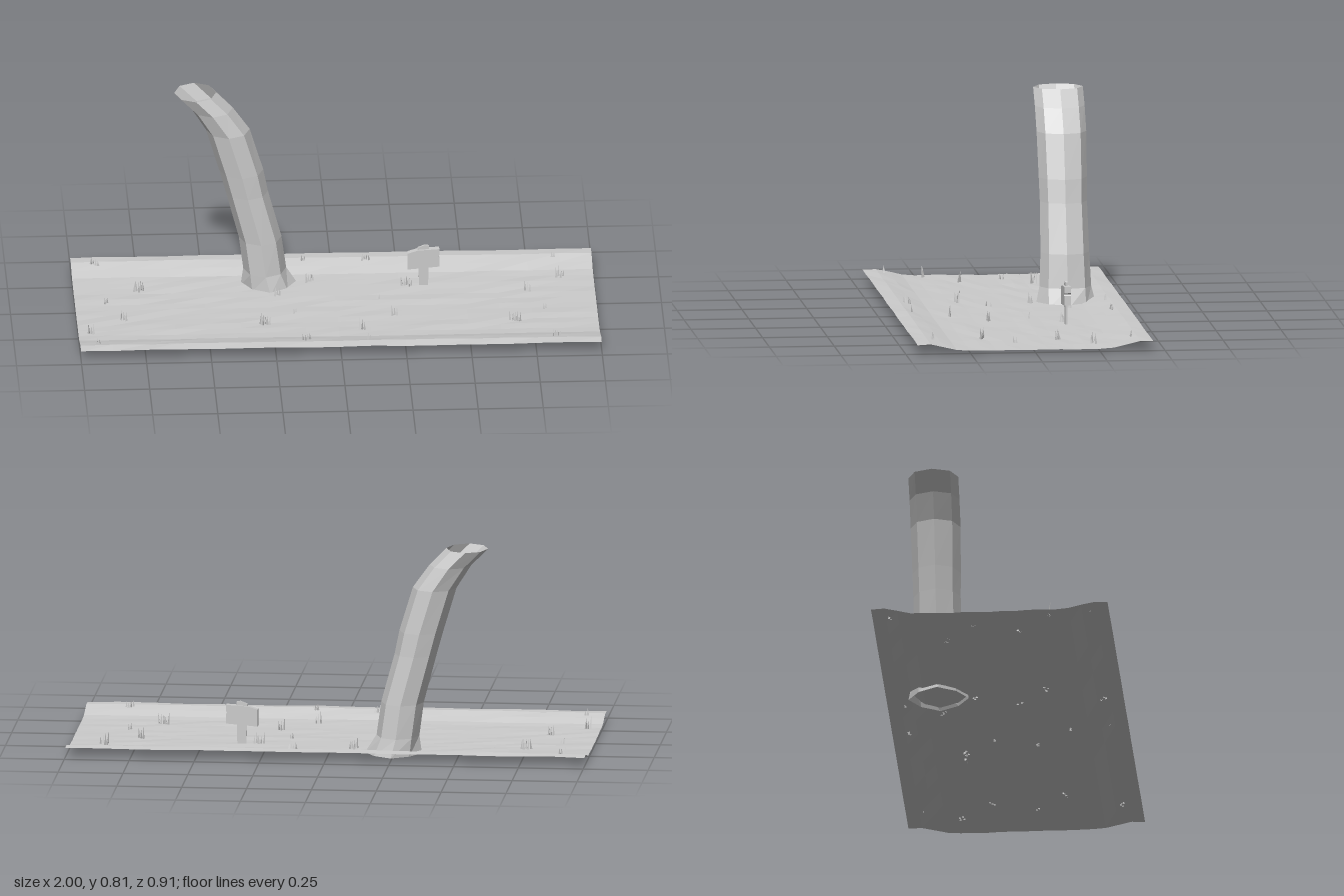
import * as THREE from 'three';

const material = new THREE.MeshStandardMaterial({ color: 0xcccccc, flatShading: true, side: THREE.DoubleSide });

let seed = 7;
const rand = () => (seed = (seed * 16807) % 2147483647) / 2147483647;

function add(parent, name, geometry, x = 0, y = 0, z = 0) {
  const mesh = new THREE.Mesh(geometry, material);
  mesh.name = name;
  mesh.position.set(x, y, z);
  parent.add(mesh);
  return mesh;
}

// Ground height across the strip: flat middle, raised banks
function groundHeight(z) {
  const d = Math.abs(z);
  if (d < 0.3) return 0.009 + 0.004 * d / 0.3;
  if (d < 0.4) return THREE.MathUtils.lerp(0.013, 0.039, (d - 0.3) / 0.1);
  return THREE.MathUtils.lerp(0.039, 0.036, (d - 0.4) / 0.055);
}

function groundGeometry() {
  const g = new THREE.PlaneGeometry(2, 0.91, 16, 18).rotateX(-Math.PI / 2);
  const p = g.attributes.position;
  for (let i = 0; i < p.count; i++) p.setY(i, groundHeight(p.getZ(i)) + (rand() - 0.5) * 0.004);
  return g;
}

// Open eight-sided trunk, rings stacked at level heights: [y, left x, right x, z radius]
function trunkGeometry() {
  const rings = [
    [0, -0.355, -0.135, 0.116], [0.07, -0.345, -0.18, 0.1], [0.2, -0.362, -0.198, 0.094],
    [0.39, -0.412, -0.25, 0.091], [0.48, -0.437, -0.268, 0.093], [0.65, -0.488, -0.32, 0.096],
    [0.74, -0.545, -0.385, 0.096], [0.805, -0.61, -0.449, 0.096],
  ];
  const sides = 8, points = [], index = [];
  rings.forEach(([y, x0, x1, rz], r) => {
    for (let s = 0; s < sides; s++) {
      const a = (s / sides) * Math.PI * 2;
      // root flare is pointed: the corners between the spurs stay tucked in
      const k = r === 0 && s % 2 ? 0.88 : 1;
      points.push((x0 + x1) / 2 + Math.cos(a) * k * (x1 - x0) / 2, y, -0.249 + Math.sin(a) * k * rz);
      if (r < rings.length - 1) {
        const b = r * sides + s, c = r * sides + (s + 1) % sides;
        index.push(b, b + sides, c, c, b + sides, c + sides);
      }
    }
  });
  const g = new THREE.BufferGeometry();
  g.setAttribute('position', new THREE.Float32BufferAttribute(points, 3));
  g.setIndex(index);
  g.computeVertexNormals();
  return g;
}

function slab(corners, depth) {
  const shape = new THREE.Shape(corners.map(([x, y]) => new THREE.Vector2(x, y)));
  return new THREE.ExtrudeGeometry(shape, { depth, bevelEnabled: false }).translate(0, 0, -depth / 2);
}

// Grass tufts: [x, z, blade count, blade height]
const tufts = [
  [-0.91, -0.385, 4, 0.028], [-0.11, -0.39, 2, 0.026], [0.13, -0.385, 4, 0.028], [0.85, -0.39, 2, 0.026],
  [0.87, -0.24, 4, 0.05], [-0.09, -0.24, 4, 0.05], [-0.75, -0.18, 5, 0.048], [0.28, -0.18, 5, 0.048],
  [0.74, -0.11, 3, 0.045], [-0.22, -0.11, 3, 0.045], [-0.88, -0.07, 2, 0.026], [0.165, -0.07, 2, 0.026],
  [-0.16, 0.06, 2, 0.026], [0.8, 0.06, 2, 0.026], [-0.82, 0.1, 3, 0.045], [0.22, 0.1, 3, 0.045],
  [-0.28, 0.17, 5, 0.048], [0.68, 0.17, 5, 0.048], [-0.95, 0.23, 3, 0.05], [0.09, 0.23, 3, 0.05],
  [-0.13, 0.375, 4, 0.032], [0.83, 0.375, 4, 0.032], [-0.93, 0.385, 2, 0.028], [0.11, 0.385, 2, 0.028],
];

export function createModel() {
  const model = new THREE.Group();
  model.name = 'riverbankScene';

  add(model, 'ground', groundGeometry());
  add(model, 'treeTrunk', trunkGeometry());

  // Signpost: tapered post with a thicker, slightly crooked board
  const sign = new THREE.Group();
  sign.name = 'signpost';
  sign.position.set(0, 0, -0.187);
  model.add(sign);
  add(sign, 'signPost', slab([[0.328, 0.005], [0.362, 0.005], [0.366, 0.176], [0.35, 0.179], [0.322, 0.168]], 0.009));
  add(sign, 'signBoard', slab([
    [0.283, 0.082], [0.405, 0.092], [0.405, 0.13], [0.4, 0.135], [0.405, 0.14], [0.405, 0.165], [0.322, 0.16], [0.283, 0.148],
  ], 0.026));

  // Thin pointed blades scattered around each tuft centre
  for (const [x, z, count, height] of tufts) {
    const tuft = new THREE.Group();
    tuft.name = 'grassTuft';
    tuft.position.set(x, groundHeight(z) - 0.002, z);
    model.add(tuft);
    for (let i = 0; i < count; i++) {
      const h = height * (0.65 + 0.35 * (i === 0 ? 1 : rand()));
      const blade = new THREE.ConeGeometry(0.0055, h, 3, 1, true).translate(0, h / 2, 0);
      const offset = (i - (count - 1) / 2) * 0.009;
      const mesh = add(tuft, 'grassBlade', blade, offset, 0, (rand() - 0.5) * 0.022);
      mesh.rotation.set((rand() - 0.5) * 0.25, rand() * 6, -offset * 6);
    }
  }
  return model;
}
